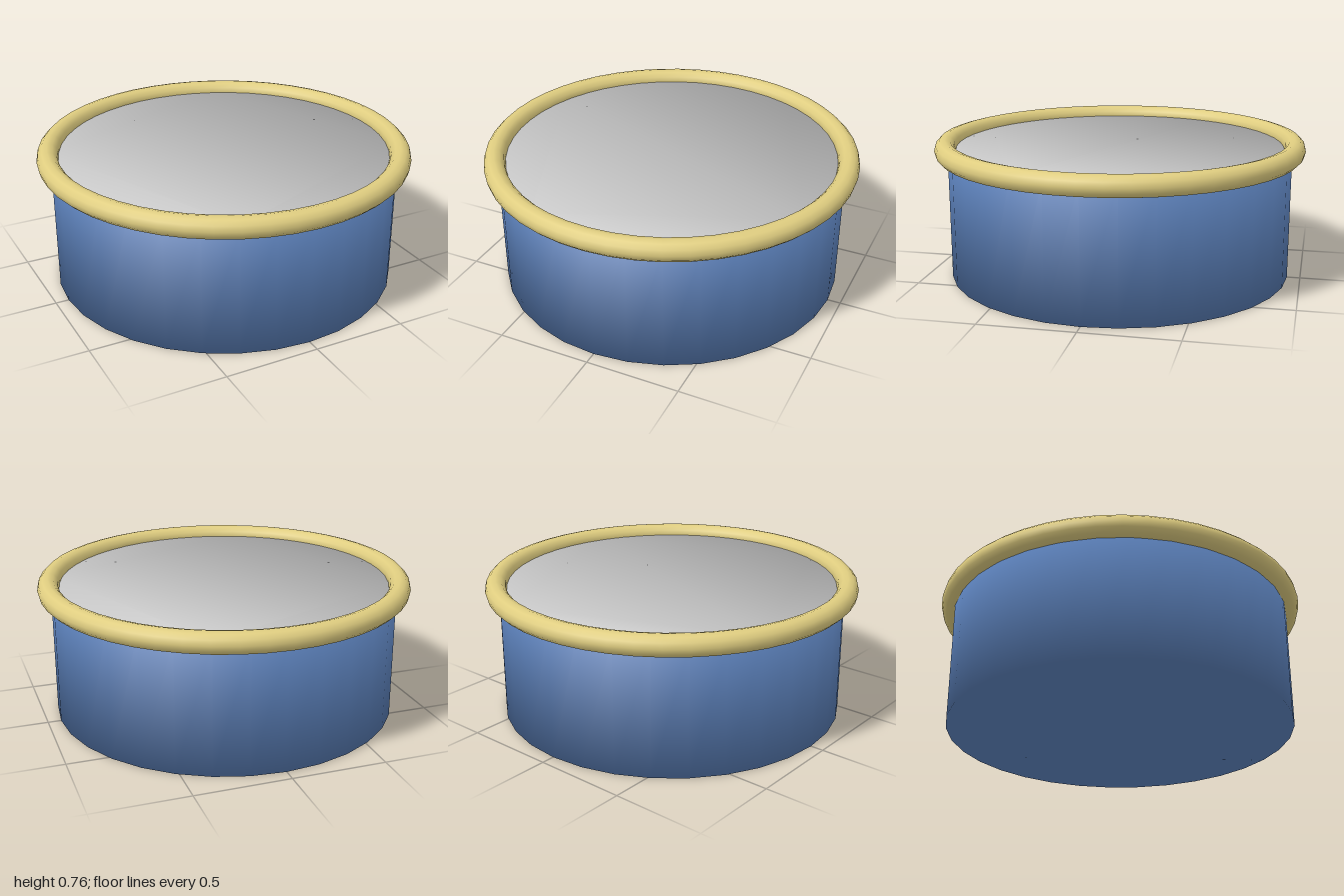
import * as THREE from 'three';

const RADIUS = 0.93, HEIGHT = 0.7, SIDES = 32;

const blue = new THREE.MeshStandardMaterial({ color: 0x587cb4 });
blue.name = 'blue shell';
const grey = new THREE.MeshStandardMaterial({ color: 0xc6c6c6 });
grey.name = 'grey skin';
const gold = new THREE.MeshStandardMaterial({ color: 0xdfcd80 });
gold.name = 'pale gold rim';

// Shade wall and caps as one smooth surface: normals lean 45 degrees out at both edges
function softenNormals(geometry) {
  const p = geometry.attributes.position;
  const n = new THREE.Vector3();
  for (let i = 0; i < p.count; i++) {
    n.set(p.getX(i) / RADIUS, p.getY(i) > HEIGHT / 2 ? 1 : -1, p.getZ(i) / RADIUS).normalize();
    geometry.attributes.normal.setXYZ(i, n.x, n.y, n.z);
  }
  return geometry;
}

// Flat polygon cap without a centre point, facing up or down
function capGeometry(y, facing) {
  const points = [];
  for (let i = 0; i < SIDES; i++) {
    const a = (i / SIDES) * Math.PI * 2;
    points.push(new THREE.Vector2(Math.cos(a) * RADIUS, Math.sin(a) * RADIUS));
  }
  const cap = new THREE.ShapeGeometry(new THREE.Shape(points));
  cap.rotateX(-facing * Math.PI / 2).translate(0, y, 0);
  return softenNormals(cap);
}

export function createModel() {
  const group = new THREE.Group();
  group.name = 'drum';

  const add = (name, geometry, material) => {
    const mesh = new THREE.Mesh(geometry, material);
    mesh.name = name;
    group.add(mesh);
  };

  // Shell wall and underside
  const wall = new THREE.CylinderGeometry(RADIUS, RADIUS, HEIGHT, SIDES, 1, true);
  wall.translate(0, HEIGHT / 2, 0);
  add('shellWall', softenNormals(wall), blue);
  add('shellBottom', capGeometry(0, -1), blue);

  // Drum skin on top
  add('drumSkin', capGeometry(HEIGHT, 1), grey);

  // Rounded hoop around the top edge
  const rim = new THREE.TorusGeometry(0.943, 0.057, 12, 48);
  rim.rotateX(Math.PI / 2).translate(0, HEIGHT, 0);
  add('rimHoop', rim, gold);

  return group;
}
